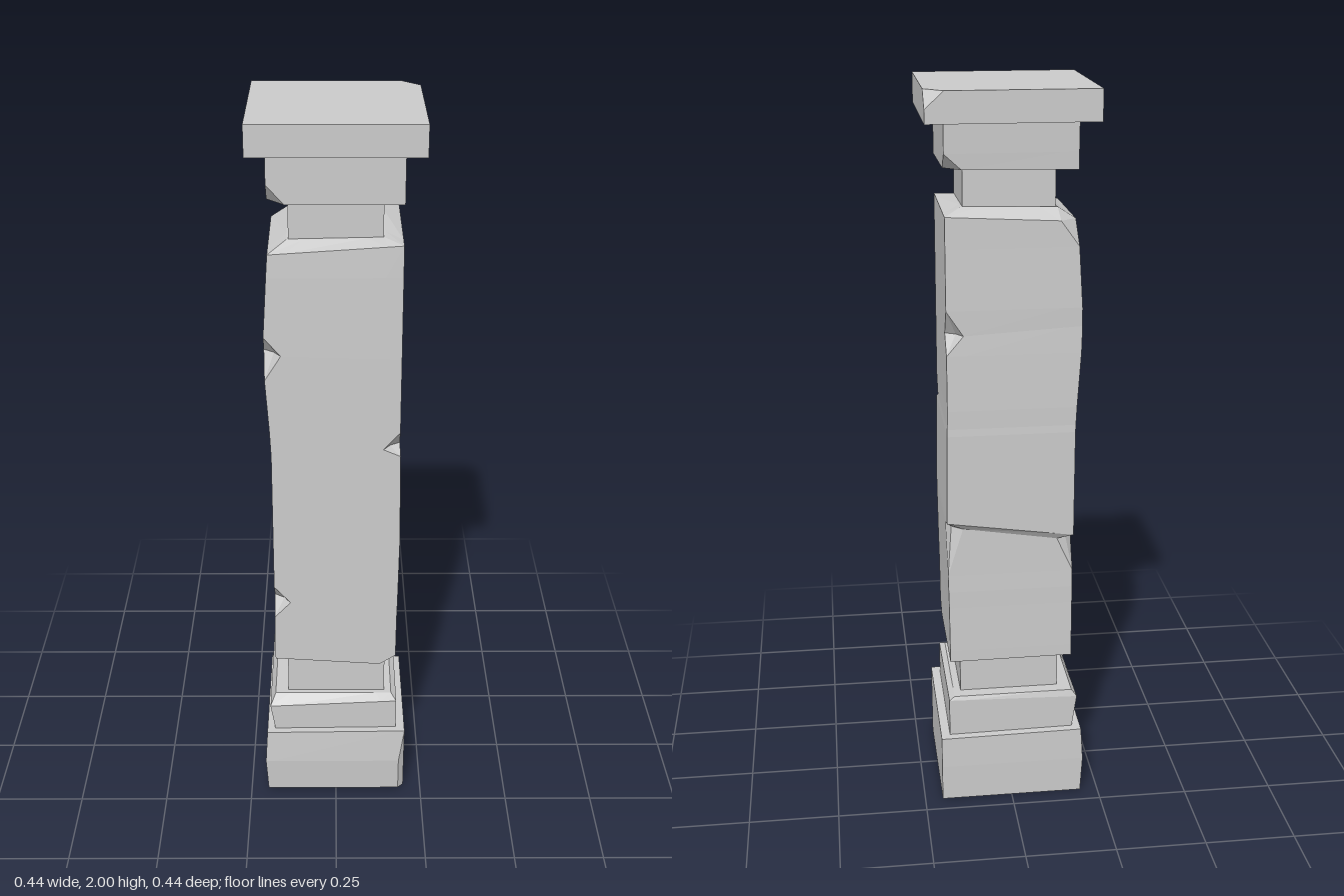
import * as THREE from 'three';

const stone = new THREE.MeshStandardMaterial({ color: 0xcccccc, flatShading: true });

// Corner numbers: 0 front right (-x,+z), 1 front left (+x,+z), 2 back left (+x,-z), 3 back right (-x,-z)
const LERP = (a, b, t) => a.clone().lerp(b, t);

// One ring of 12 points: every corner has a point on each side of it, at distance d,
// so a chipped corner can sink in without disturbing the faces next to it.
function ring([y, left, right, front, back, chips = {}], d) {
  const ys = Array.isArray(y) ? y : [y, y, y, y];
  const c = [[left, front], [right, front], [right, back], [left, back]]
    .map(([x, z], i) => new THREE.Vector3(x, ys[i], z));
  const points = [];
  c.forEach((p, i) => {
    const prev = c[(i + 3) % 4], next = c[(i + 1) % 4];
    const depth = (chips[i] || 0) * d;
    const tip = p.clone()
      .add(prev.clone().sub(p).setLength(depth))
      .add(next.clone().sub(p).setLength(depth));
    points.push(
      { v: LERP(p, prev, d / p.distanceTo(prev)) },
      { v: tip, chipped: depth > 0 },
      { v: LERP(p, next, d / p.distanceTo(next)) });
  });
  return points;
}

// Stack rings into a closed, worn block
function block(name, levels, d = 0.045) {
  const rings = levels.map((l) => ring(l, d));
  const pos = [];
  const tri = (...vs) => vs.forEach((v) => pos.push(v.x, v.y, v.z));
  const n = 12;
  for (let j = 0; j < rings.length - 1; j++) {
    for (let i = 0; i < n; i++) {
      const k = (i + 1) % n;
      const p = rings[j][i], q = rings[j][k], r = rings[j + 1][k], s = rings[j + 1][i];
      // keep the diagonal off the chipped point
      if (p.chipped || r.chipped) { tri(p.v, q.v, s.v); tri(q.v, r.v, s.v); }
      else { tri(p.v, q.v, r.v); tri(p.v, r.v, s.v); }
    }
  }
  const end = (pts, up) => {
    const mid = new THREE.Vector3();
    pts.forEach((p) => mid.addScaledVector(p.v, 1 / n));
    pts.forEach((p, i) => {
      const q = pts[(i + 1) % n];
      if (up) tri(mid, p.v, q.v); else tri(mid, q.v, p.v);
    });
  };
  end(rings[0], false);
  end(rings[rings.length - 1], true);
  const geo = new THREE.BufferGeometry();
  geo.setAttribute('position', new THREE.Float32BufferAttribute(pos, 3));
  geo.computeVertexNormals();
  const mesh = new THREE.Mesh(geo, stone);
  mesh.name = name;
  return mesh;
}

export function createModel() {
  const pillar = new THREE.Group();
  pillar.name = 'wornPillar';

  // level: [height (one, or one per corner), left, right, front, back, { corner: chip depth }]
  pillar.add(
    block('plinth', [
      [0, -0.2, 0.2, 0.2, -0.2, { 1: 0.5 }],
      [0.105, -0.206, 0.2, 0.206, -0.2, { 1: 0.5 }],
      [[0.205, 0.21, 0.195, 0.2], -0.2, 0.2, 0.2, -0.198],
    ], 0.016),

    block('lowerCollar', [
      [0.19, -0.175, 0.175, 0.178, -0.175],
      [[0.285, 0.303, 0.305, 0.295], -0.19, 0.175, 0.18, -0.175],
      [0.315, -0.175, 0.16, 0.155, -0.17],
    ]),

    block('lowerNeck', [
      [0.3, -0.138, 0.14, 0.14, -0.135],
      [0.46, -0.138, 0.14, 0.14, -0.135],
    ]),

    block('shaft', [
      [[0.45, 0.427, 0.425, 0.427], -0.172, 0.17, 0.174, -0.168, { 1: 0.5 }],
      [0.46, -0.172, 0.17, 0.174, -0.168],
      [0.59, -0.172, 0.171, 0.174, -0.167],
      [[0.64, 0.63, 0.64, 0.64], -0.172, 0.172, 0.174, -0.167, { 0: 0.6 }],
      [0.69, -0.172, 0.173, 0.174, -0.166],
      // ledge across the back
      [[0.8, 0.83, 0.835, 0.78], -0.172, 0.175, 0.174, -0.165, { 2: 0.3, 3: 0.4 }],
      [[0.82, 0.85, 0.85, 0.8], -0.172, 0.175, 0.174, -0.177],
      [1.1, -0.172, 0.172, 0.175, -0.179],
      [[1.12, 1.12, 1.12, 1.12], -0.173, 0.171, 0.175, -0.178, { 1: 0.6 }],
      [1.17, -0.175, 0.17, 0.175, -0.178],
      [1.32, -0.185, 0.17, 0.174, -0.175],
      [[1.39, 1.38, 1.37, 1.39], -0.187, 0.17, 0.174, -0.172, { 0: 0.6, 2: 0.6 }],
      [1.44, -0.186, 0.17, 0.173, -0.173],
      [1.6, -0.176, 0.17, 0.171, -0.17],
      [[1.66, 1.683, 1.683, 1.665], -0.172, 0.17, 0.168, -0.17, { 3: 0.5 }],
      [[1.685, 1.69, 1.7, 1.695], -0.125, 0.125, 0.125, -0.125],
    ]),

    block('upperNeck', [
      [1.66, -0.12, 0.12, 0.12, -0.12],
      [1.82, -0.12, 0.12, 0.12, -0.12],
    ]),

    block('capital', [
      [[1.79, 1.79, 1.8, 1.795], -0.172, 0.17, 0.172, -0.163, { 0: 0.5, 2: 0.5 }],
      [1.84, -0.172, 0.17, 0.172, -0.165],
      [1.93, -0.172, 0.17, 0.172, -0.167],
    ]),

    block('capSlab', [
      [1.92, -0.22, 0.22, 0.22, -0.22],
      [1.955, -0.22, 0.22, 0.22, -0.22],
      [2, -0.22, 0.22, 0.22, -0.22, { 2: 0.5 }],
    ], 0.048),
  );
  return pillar;
}
